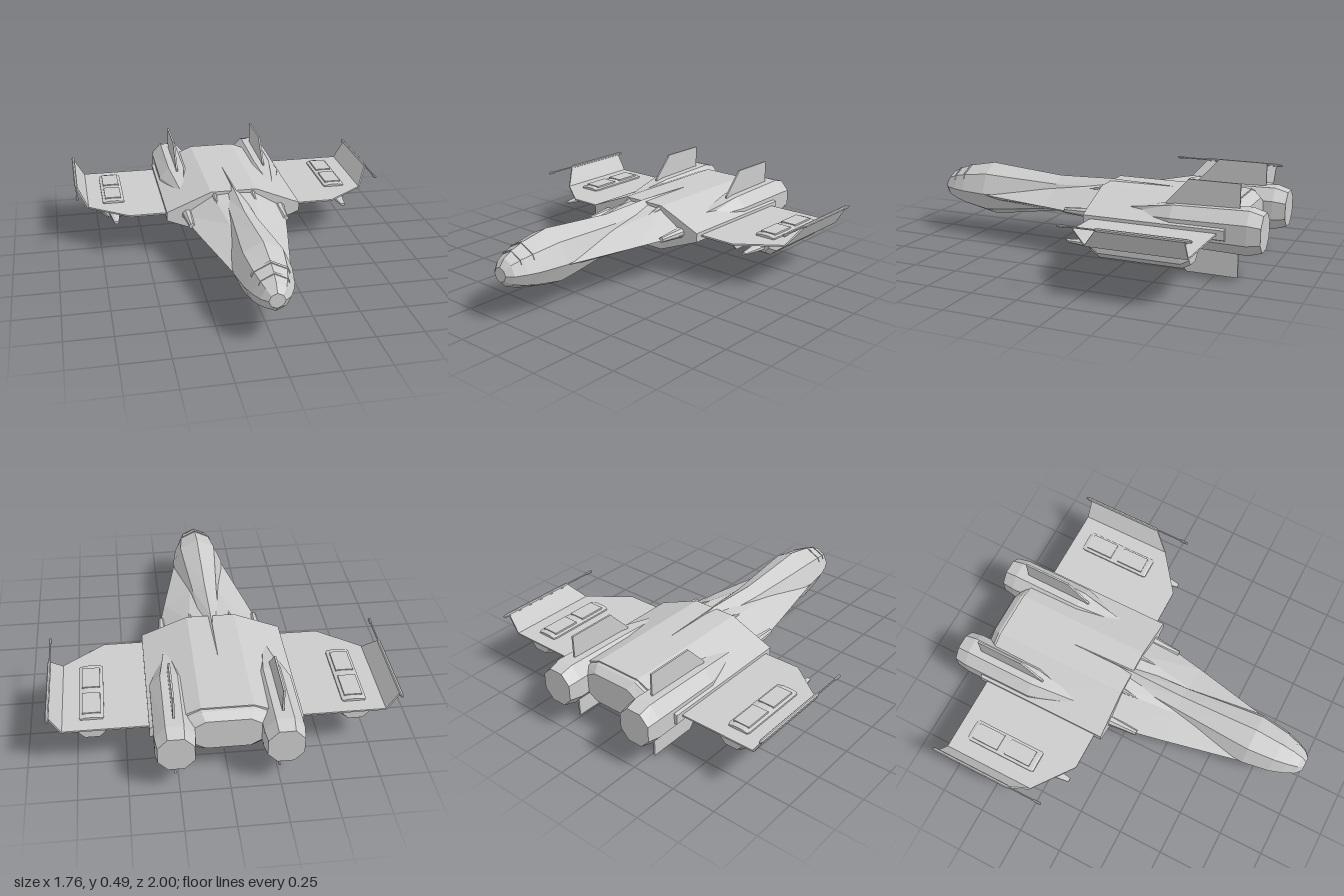
import * as THREE from 'three';

const grey = new THREE.MeshStandardMaterial({ color: 0xcccccc, flatShading: true, side: THREE.DoubleSide });

// Full ring from its +x half, listed bottom to top.
function sym(half) {
  const left = half.filter(p => p[0] > 0).reverse().map(([x, y]) => [-x, y]);
  return [...half, ...left];
}

// Eight-sided ring with half width w between bottom and top.
function hullRing(w, bottom, top, mid = 0.255) {
  return sym([[0, bottom], [w * 0.68, mid + (bottom - mid) * 0.68], [w, mid],
    [w * 0.68, mid + (top - mid) * 0.68], [0, top]]);
}

// Regular octagon with flat top and sides, apothem rx by ry.
function octagon(rx, ry, cy = 0) {
  const k = 0.45;
  return sym([[rx * k, cy - ry], [rx, cy - ry * k], [rx, cy + ry * k], [rx * k, cy + ry]]);
}

// Flat-sided skin through rings [z, points], front to back, with end caps.
function loft(sections) {
  const rings = sections.map(([z, pts]) => pts.map(([x, y]) => [x, y, z]));
  const n = rings[0].length, pos = [];
  const centre = r => [0, 1, 2].map(i => r.reduce((s, p) => s + p[i], 0) / n);
  const first = rings[0], last = rings[rings.length - 1];
  for (let j = 0; j < n; j++) {
    const k = (j + 1) % n;
    for (let i = 0; i < rings.length - 1; i++) {
      const a = rings[i][j], b = rings[i][k], c = rings[i + 1][k], d = rings[i + 1][j];
      pos.push(...a, ...d, ...c, ...a, ...c, ...b);
    }
    pos.push(...centre(first), ...first[j], ...first[k]);
    pos.push(...centre(last), ...last[k], ...last[j]);
  }
  const g = new THREE.BufferGeometry();
  g.setAttribute('position', new THREE.Float32BufferAttribute(pos, 3));
  g.computeVertexNormals();
  return g;
}

// Thin plate from an outline, centred on its thickness.
function plate(points, depth) {
  const shape = new THREE.Shape(points.map(p => new THREE.Vector2(...p)));
  return new THREE.ExtrudeGeometry(shape, { depth, bevelEnabled: false }).translate(0, 0, -depth / 2);
}

export function createModel() {
  const model = new THREE.Group();
  const add = (name, geometry, x = 0, y = 0, z = 0) => {
    const mesh = new THREE.Mesh(geometry, grey);
    mesh.name = name;
    mesh.position.set(x, y, z);
    model.add(mesh);
    return mesh;
  };
  const box = (w, h, d) => new THREE.BoxGeometry(w, h, d);

  // Fuselage stations: z, half width, bottom, top
  const stations = [
    [1, 0.042, 0.215, 0.295], [0.97, 0.075, 0.185, 0.333], [0.91, 0.103, 0.16, 0.364],
    [0.84, 0.126, 0.139, 0.386], [0.69, 0.15, 0.108, 0.415], [0.57, 0.138, 0.122, 0.404],
    [0.25, 0.1, 0.17, 0.377], [-0.06, 0.075, 0.18, 0.387], [-0.42, 0.008, 0.33, 0.377],
  ];
  add('fuselage', loft(stations.map(([z, w, b, t]) => [z, hullRing(w, b, t)])));

  // Cockpit frame strips just proud of the nose
  function strip(z0, z1) {
    return loft([z0, z1].map(z => {
      const i = stations.findIndex(s => s[0] <= z);
      const p = stations[i - 1], q = stations[i], f = (p[0] - z) / (p[0] - q[0]);
      const [w, t] = [1, 3].map(c => p[c] + (q[c] - p[c]) * f);
      const h = t - 0.255;
      return [z, sym([[0, 0.255], [w * 0.8, 0.255 + h * 0.5], [w * 0.7, 0.258 + h * 0.68], [0, t + 0.005]])];
    }));
  }
  add('canopyFrameRear', strip(0.858, 0.845));
  add('canopyFrameFront', strip(0.925, 0.915));

  // Shoulders widening from the nose back to the main body
  add('shoulders', loft([
    [0.67, sym([[0, 0.2], [0.1, 0.22], [0.148, 0.25], [0.1, 0.27], [0, 0.28]])],
    [0.25, sym([[0, 0.18], [0.1, 0.195], [0.237, 0.248], [0.085, 0.315], [0, 0.33]])],
    [-0.07, sym([[0, 0.17], [0.11, 0.175], [0.3, 0.245], [0.12, 0.355], [0, 0.365]])],
  ]));

  // Main body and its bevelled tail
  const bodyRing = sym([[0.13, 0.12], [0.382, 0.222], [0.382, 0.272], [0.13, 0.376]]);
  add('mainBody', loft([[-0.06, bodyRing], [-0.825, bodyRing]]));
  add('tailBlock', loft([
    [-0.81, sym([[0.13, 0.125], [0.215, 0.17], [0.215, 0.33], [0.13, 0.372]])],
    [-0.84, sym([[0.13, 0.13], [0.21, 0.175], [0.21, 0.325], [0.13, 0.365]])],
    [-0.88, sym([[0.11, 0.165], [0.17, 0.2], [0.17, 0.3], [0.11, 0.335]])],
  ]));

  const finOutline = [[-0.87, 0], [-0.87, 0.24], [-0.6, 0.24], [-0.48, 0.11], [-0.48, 0]];

  for (const s of [1, -1]) {
    const side = s > 0 ? 'left' : 'right';

    // Engine with pointed fairing, and upper and lower tail fins
    add(side + 'Engine', loft([
      [-0.23, octagon(0.01, 0.055)], [-0.53, octagon(0.1, 0.105)],
      [-0.93, octagon(0.1, 0.115)], [-1, octagon(0.09, 0.095)],
    ]), s * 0.265, 0.252);
    for (const v of [1, -1]) {
      const fin = plate(finOutline.map(([z, y]) => [z, y * v]), 0.01).rotateY(-Math.PI / 2);
      add(side + (v > 0 ? 'UpperFin' : 'LowerFin'), fin, s * 0.265, v > 0 ? 0.25 : 0.24);
    }

    // Wing and upturned winglet
    const wing = [[0.36, -0.1], [0.59, -0.1], [0.81, -0.265], [0.81, -0.785], [0.36, -0.785]];
    add(side + 'Wing', plate(wing.map(([x, z]) => [s * x, z]), 0.009).rotateX(Math.PI / 2), 0, 0.25);
    const tip = [[0, -0.265], [0.118, -0.35], [0.118, -0.785], [0, -0.785]];
    add(side + 'Winglet', plate(tip.map(([x, z]) => [s * x, z]), 0.009).rotateX(Math.PI / 2)
      .rotateZ(s * 1.03), s * 0.81, 0.25);

    // Wingtip gun
    const gun = [[-0.15, 0.004], [-0.155, 0.007], [-0.19, 0.007], [-0.2, 0.004], [-0.34, 0.004],
      [-0.36, 0.009], [-0.8, 0.009], [-0.82, 0.005]];
    add(side + 'WingtipGun', loft(gun.map(([z, r]) => [z, octagon(r, r)])), s * 0.87, 0.352);

    // Launcher on the wing: tray and two lids
    add(side + 'LauncherTray', loft([
      [-0.295, octagon(0.055, 0.012)], [-0.305, octagon(0.062, 0.016)],
      [-0.695, octagon(0.062, 0.016)], [-0.71, octagon(0.055, 0.012)],
    ]), s * 0.662, 0.256);
    for (const z of [-0.405, -0.605]) add(side + 'LauncherLid', box(0.092, 0.016, 0.155), s * 0.662, 0.269, z);

    // Pod below the wing with a narrow barrel
    const podRing = (w, y0) => sym([[w * 0.55, y0], [w, y0 + 0.03], [w, 0.235], [w * 0.85, 0.25]]);
    add(side + 'Pod', loft([
      [-0.25, podRing(0.06, 0.19)], [-0.3, podRing(0.075, 0.165)],
      [-0.72, podRing(0.075, 0.165)], [-0.76, podRing(0.065, 0.185)],
    ]), s * 0.662);
    add(side + 'PodBarrel', loft([
      [-0.105, octagon(0.012, 0.007)], [-0.27, octagon(0.035, 0.02)],
    ]), s * 0.662, 0.215);

    // Forward gun at the shoulder edge and small dorsal spike
    add(side + 'ShoulderGun', loft([
      [0.1, octagon(0.014, 0.014)], [0.02, octagon(0.02, 0.02)], [-0.08, octagon(0.03, 0.028)],
    ]), s * 0.265, 0.252);
    add(side + 'DorsalSpike', loft([
      [0.06, octagon(0.002, 0.003, -0.02)], [-0.07, octagon(0.014, 0.02)],
    ]), s * 0.11, 0.35);
  }
  return model;
}
